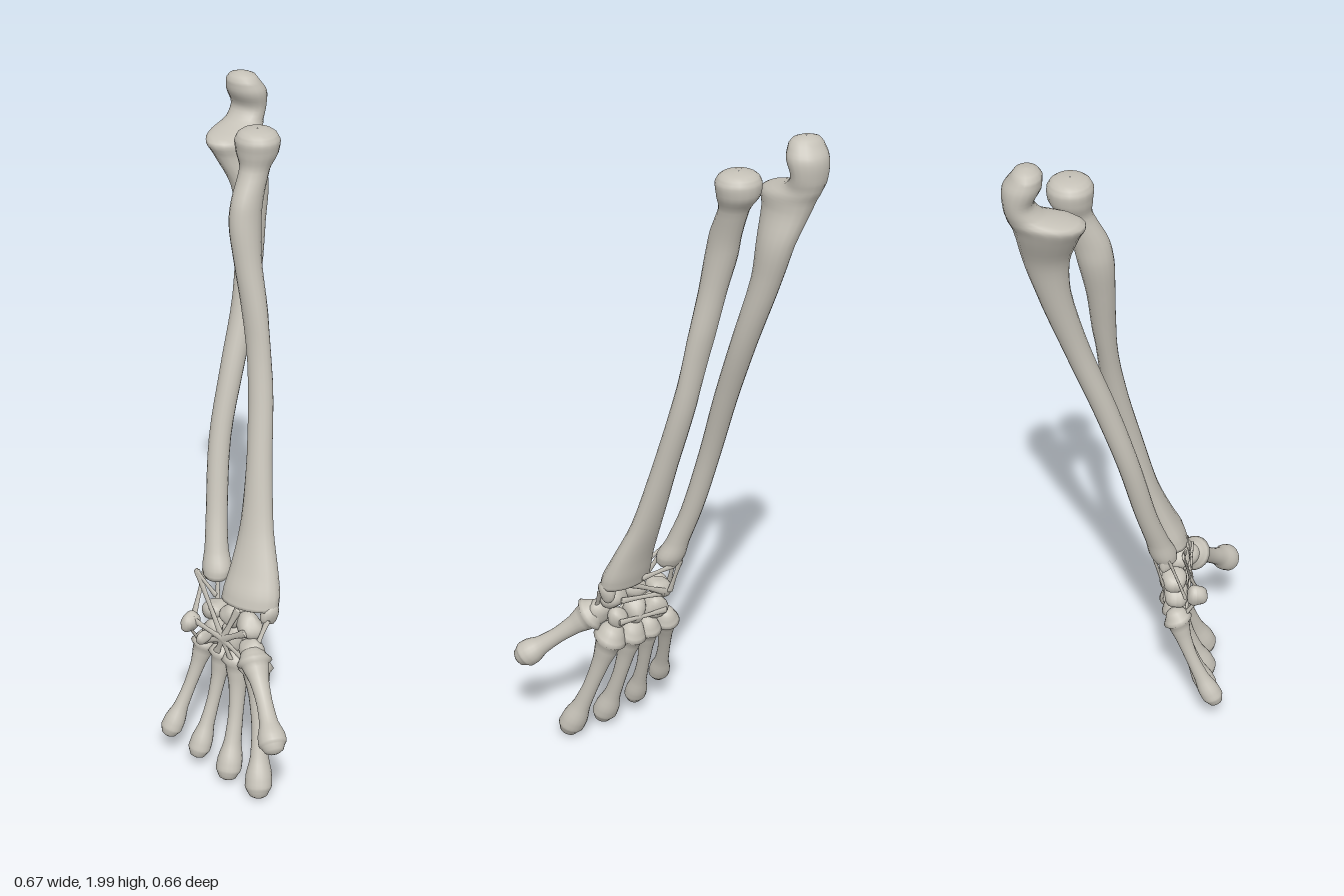
import * as THREE from 'three';

const boneMat = new THREE.MeshStandardMaterial({ color: 0xc6c2b8 });
boneMat.name = 'bone';

const SIDES = 18;

// Lofts ellipses along sections [x, y, z, halfWidth, halfDepth, turn], with domed ends.
// Rings lie perpendicular to one axis: straight down, or from first to last section.
function loft(name, sections, { level = false, steps = 4, cap = 0.5, sides = SIDES } = {}) {
  const centre = new THREE.CatmullRomCurve3(sections.map(s => new THREE.Vector3(s[0], s[1], s[2])));
  const size = new THREE.CatmullRomCurve3(sections.map(s => new THREE.Vector3(s[3], s[4], s[5] || 0)));
  const axis = level
    ? new THREE.Vector3(0, -1, 0)
    : centre.getPoint(1).sub(centre.getPoint(0)).normalize();
  const u = Math.abs(axis.x) > 0.8 ? new THREE.Vector3(0, 1, 0) : new THREE.Vector3(1, 0, 0);
  u.addScaledVector(axis, -u.dot(axis)).normalize();
  const v = new THREE.Vector3().crossVectors(axis, u);

  // ring list: start dome, body, end dome
  const rings = [];
  const add = (t, scale, shift) => {
    const s = size.getPoint(t);
    const c = centre.getPoint(t).addScaledVector(axis, shift * Math.min(s.x, s.y) * cap);
    rings.push([c, s.x * scale, s.y * scale, s.z]);
  };
  const dome = [0.02, 0.45, 0.8];
  dome.forEach(r => add(0, r, -Math.sqrt(1 - r * r)));
  const n = (sections.length - 1) * steps;
  for (let i = 0; i <= n; i++) add(i / n, 1, 0);
  [...dome].reverse().forEach(r => add(1, r, Math.sqrt(1 - r * r)));

  const pos = [], idx = [];
  rings.forEach(([c, a, b, turn], i) => {
    const ct = Math.cos(turn), st = Math.sin(turn);
    for (let j = 0; j < sides; j++) {
      const q = (j / sides) * Math.PI * 2;
      const p = a * Math.cos(q), w = b * Math.sin(q);
      const pt = c.clone().addScaledVector(u, p * ct - w * st).addScaledVector(v, p * st + w * ct);
      pos.push(pt.x, pt.y, pt.z);
      if (i === rings.length - 1) continue;
      const k = i * sides + j, m = i * sides + ((j + 1) % sides);
      idx.push(k, m, k + sides, m, m + sides, k + sides);
    }
  });
  const geo = new THREE.BufferGeometry();
  geo.setAttribute('position', new THREE.Float32BufferAttribute(pos, 3));
  geo.setIndex(idx);
  geo.computeVertexNormals();
  const mesh = new THREE.Mesh(geo, boneMat);
  mesh.name = name;
  return mesh;
}

// Rounded, slightly lumpy small bone
function pebble(name, [x, y, z], [rx, ry, rz], tilt = 0) {
  const geo = new THREE.SphereGeometry(1, 16, 12);
  const p = geo.attributes.position;
  for (let i = 0; i < p.count; i++) {
    const a = p.getX(i), b = p.getY(i), c = p.getZ(i);
    const k = 1 + 0.1 * Math.sin(3 * a + x * 40) * Math.cos(3 * b + y * 30) + 0.08 * Math.sin(4 * c + x * 25);
    p.setXYZ(i, a * k * rx, b * k * ry, c * k * rz);
  }
  geo.computeVertexNormals();
  const mesh = new THREE.Mesh(geo, boneMat);
  mesh.name = name;
  mesh.position.set(x, y, z);
  mesh.rotation.z = tilt;
  return mesh;
}

// Hand bone: wide base, thin bowed shaft, knobbly head
function metacarpal(name, base, head, r, bow) {
  const profile = [[0, 0.95, 1], [0.1, 0.95, 1], [0.28, 0.66, 0.7], [0.52, 0.56, 0.58],
    [0.74, 0.64, 0.68], [0.88, 0.95, 0.95], [0.96, 1, 0.95], [1, 0.82, 0.78]];
  const a = new THREE.Vector3(...base), b = new THREE.Vector3(...head);
  return loft(name, profile.map(([t, w, d]) => {
    const p = a.clone().lerp(b, t);
    return [p.x, p.y, p.z - bow * Math.sin(Math.PI * t), r * w, r * d];
  }), { cap: 0.7, steps: 3 });
}

// Flat strap between two points
function strap(name, a, b, w) {
  const mid = a.map((q, i) => (q + b[i]) / 2);
  return loft(name, [[...a, w, 0.005], [...mid, w * 0.65, 0.004], [...b, w, 0.005]], { sides: 8 });
}

export function createModel() {
  const model = new THREE.Group();
  model.name = 'forearmAndHandBones';

  // Ulna: hooked upper end, notch, tapering shaft
  model.add(loft('ulna', [
    [-0.275, 1.985, -0.266, 0.05, 0.04], [-0.272, 1.95, -0.279, 0.061, 0.05],
    [-0.273, 1.905, -0.289, 0.056, 0.04], [-0.272, 1.87, -0.27, 0.055, 0.052],
    [-0.264, 1.838, -0.216, 0.067, 0.095], [-0.252, 1.795, -0.218, 0.058, 0.082],
    [-0.217, 1.71, -0.225, 0.048, 0.062], [-0.2, 1.6, -0.21, 0.041, 0.046],
    [-0.17, 1.4, -0.153, 0.038, 0.037], [-0.16, 1.2, -0.08, 0.034, 0.035],
    [-0.152, 1.0, -0.015, 0.032, 0.032], [-0.123, 0.8, 0.035, 0.032, 0.031],
    [-0.097, 0.69, 0.068, 0.035, 0.034], [-0.083, 0.64, 0.083, 0.044, 0.04],
    [-0.08, 0.615, 0.09, 0.04, 0.036],
  ], { level: true }));
  model.add(pebble('ulnaTip', [-0.108, 0.61, 0.09], [0.016, 0.03, 0.018]));

  // Radius: disc head, neck, bump, broad lower end
  model.add(loft('radius', [
    [-0.135, 1.888, -0.163, 0.056, 0.054], [-0.135, 1.868, -0.163, 0.065, 0.062],
    [-0.135, 1.835, -0.162, 0.06, 0.058], [-0.132, 1.79, -0.147, 0.042, 0.043],
    [-0.13, 1.71, -0.113, 0.041, 0.05], [-0.127, 1.65, -0.1, 0.043, 0.049],
    [-0.107, 1.54, -0.088, 0.04, 0.039], [-0.075, 1.4, -0.08, 0.04, 0.033],
    [-0.036, 1.2, -0.058, 0.037, 0.033, -0.1], [-0.002, 1.0, -0.014, 0.038, 0.034, -0.1],
    [0.03, 0.8, 0.036, 0.051, 0.035, -0.15], [0.054, 0.68, 0.076, 0.075, 0.042, -0.2],
    [0.062, 0.62, 0.097, 0.088, 0.05, -0.22], [0.063, 0.585, 0.107, 0.09, 0.05, -0.22],
  ], { level: true, cap: 0.25 }));
  model.add(pebble('radiusTip', [0.13, 0.57, 0.1], [0.024, 0.036, 0.03]));

  // Wrist bones, two rows
  const wrist = new THREE.Group();
  wrist.name = 'wristBones';
  [
    ['scaphoid', [0.085, 0.525, 0.135], [0.045, 0.038, 0.038], -0.5],
    ['lunate', [0.02, 0.535, 0.128], [0.037, 0.034, 0.042]],
    ['triquetrum', [-0.062, 0.515, 0.118], [0.044, 0.03, 0.034], 0.4],
    ['pisiform', [-0.1, 0.487, 0.185], [0.025, 0.032, 0.03]],
    ['trapezium', [0.118, 0.465, 0.165], [0.042, 0.038, 0.034], -0.6],
    ['trapezoid', [0.08, 0.45, 0.125], [0.03, 0.032, 0.034]],
    ['capitate', [0.018, 0.458, 0.125], [0.035, 0.05, 0.036]],
    ['hamate', [-0.05, 0.45, 0.125], [0.042, 0.042, 0.034]],
    ['hamateHook', [-0.053, 0.45, 0.175], [0.015, 0.022, 0.032]],
  ].forEach(w => wrist.add(pebble(...w)));
  model.add(wrist);

  // Hand bones
  const hand = new THREE.Group();
  hand.name = 'handBones';
  [
    ['thumbBone', [0.132, 0.46, 0.175], [0.31, 0.297, 0.298], 0.042, 0.004],
    ['indexBone', [0.098, 0.405, 0.125], [0.194, 0.04, 0.226], 0.041, 0.012],
    ['middleBone', [0.03, 0.4, 0.122], [0.075, 0.046, 0.224], 0.039, 0.014],
    ['ringBone', [-0.025, 0.4, 0.122], [-0.039, 0.072, 0.227], 0.034, 0.014],
    ['littleBone', [-0.09, 0.405, 0.125], [-0.137, 0.112, 0.243], 0.033, 0.012],
  ].forEach(h => hand.add(metacarpal(...h)));
  model.add(hand);

  // Straps fanning over the palm side and across the back of the wrist
  const straps = new THREE.Group();
  straps.name = 'wristStraps';
  const hub = [0.01, 0.465, 0.168];
  [[-0.108, 0.64, 0.143], [0.06, 0.58, 0.158], [0.1, 0.525, 0.175], [-0.09, 0.5, 0.185],
    [-0.08, 0.415, 0.155], [-0.025, 0.395, 0.156], [0.035, 0.395, 0.16], [0.095, 0.42, 0.165]]
    .forEach(p => straps.add(strap('palmStrap', hub, p, 0.013)));
  [
    [[-0.112, 0.63, 0.1], [-0.115, 0.49, 0.15]], [[-0.112, 0.64, 0.143], [-0.03, 0.59, 0.15]],
    [[-0.1, 0.62, 0.06], [-0.08, 0.51, 0.085]], [[0.07, 0.59, 0.065], [-0.06, 0.515, 0.083]],
    [[0.08, 0.52, 0.097], [-0.06, 0.51, 0.085]], [[0.09, 0.45, 0.092], [-0.07, 0.445, 0.09]],
    [[-0.1, 0.485, 0.2], [-0.088, 0.41, 0.155]], [[0.14, 0.56, 0.12], [0.13, 0.48, 0.16]],
    [[-0.08, 0.61, 0.062], [0.03, 0.6, 0.062]],
  ].forEach(([a, b]) => straps.add(strap('wristStrap', a, b, 0.011)));
  model.add(straps);

  return model;
}
